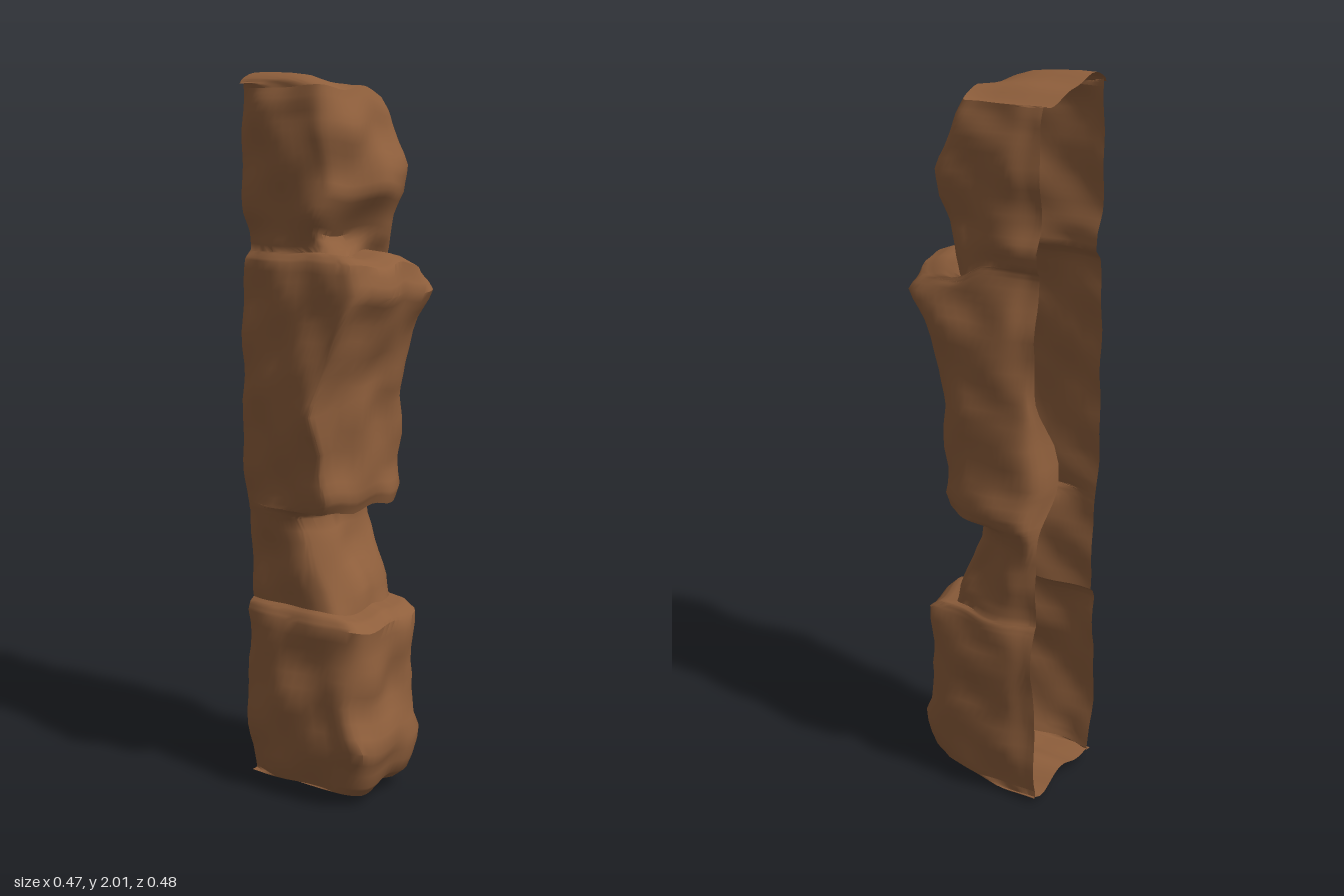
import * as THREE from 'three';
import { toCreasedNormals } from 'three/addons/utils/BufferGeometryUtils.js';

const { lerp, smoothstep } = THREE.MathUtils;

// Key sections going up the pillar: [height, left x, right x, front z]
const KEYS = [
  [0.03, -0.14, 0.168, 0.15], [0.06, -0.15, 0.172, 0.18], [0.17, -0.175, 0.185, 0.218],
  [0.29, -0.182, 0.18, 0.18], [0.4, -0.16, 0.2, 0.185], [0.51, -0.165, 0.19, 0.19],
  [0.535, -0.15, 0.185, 0.16], [0.545, -0.135, 0.18, 0.11], [0.6, -0.14, 0.18, 0.09],
  [0.7, -0.145, 0.185, 0.035], [0.8, -0.16, 0.21, 0.0], [0.825, -0.17, 0.22, 0.01],
  [0.835, -0.18, 0.225, 0.12], [0.87, -0.185, 0.23, 0.135], [0.95, -0.2, 0.215, 0.125],
  [1.12, -0.23, 0.215, 0.135], [1.22, -0.215, 0.205, 0.15], [1.35, -0.19, 0.2, 0.2],
  [1.43, -0.183, 0.178, 0.24], [1.505, -0.168, 0.165, 0.215], [1.525, -0.15, 0.165, 0.16],
  [1.53, -0.145, 0.17, 0.085], [1.58, -0.15, 0.178, 0.09], [1.63, -0.165, 0.165, 0.115],
  [1.69, -0.17, 0.165, 0.15], [1.76, -0.178, 0.172, 0.145], [1.85, -0.19, 0.17, 0.12],
  [1.92, -0.183, 0.158, 0.1], [1.96, -0.168, 0.148, 0.085],
];
const ACROSS = 52, STEPS = 3, CAP = 6, BACK = -0.21;

// Small smooth bumps for the weathered rock
const bump = (a, b, c) =>
  0.005 * Math.sin(a * 31 + b * 17 + c) + 0.004 * Math.sin(a * 19 - b * 34 + c * 2.3);

// U-shaped section: back left, round the front, back right
function section([y, xl, xr, zf]) {
  const curl = Math.exp(-(((y - 0.98) / 0.17) ** 2)); // back edge curling inwards
  const slab = smoothstep(y, 0.8, 0.84) * (1 - smoothstep(y, 1.5, 1.55)); // square-cornered block
  const lean = smoothstep(y, 1.53, 1.58) * (1 - smoothstep(y, 1.75, 1.88)); // upper bulge
  const flare = Math.min(lerp(-0.06, 0.06, slab), zf - 0.08);
  const chamfer = Math.max(zf - 0.1, -0.07);
  const outline = new THREE.CatmullRomCurve3([
    // right-hand wall and corner
    [Math.max(xl * 0.95, -0.12 + xl * 0.22), BACK],
    [Math.max(xl, -0.12 + xl * 0.32), lerp(BACK, flare, 0.5)],
    [xl, flare], [xl * lerp(0.92, 0.99, slab), lerp(flare, zf, 0.55)],
    // front face
    [xl * lerp(0.8, 0.96, slab), zf - 0.025 - 0.03 * lean], [xl * 0.3, zf - 0.035 * lean],
    [xr * 0.25, zf - 0.018 * (1 - lean)],
    [Math.min(xr * 0.79, 0.147), Math.max(zf - 0.04 + 0.01 * lean, -0.03)],
    // chamfer and left-hand wall
    [xr * 0.89, chamfer], [xr * 0.96, lerp(chamfer, -0.13, 0.5)], [xr, -0.13],
    [xr * 0.94, lerp(-0.18, -0.22, curl)], [lerp(xr * 0.92, 0.1, curl), BACK - 0.032 * curl],
  ].map(([x, z]) => new THREE.Vector3(x, y, z)), false, 'centripetal');
  return outline.getPoints(ACROSS).map((p, i) => {
    const edge = Math.min(1, Math.min(i, ACROSS - i) / 4);
    p.x += bump(p.z, y, 1);
    p.z += edge * bump(p.x, y, 4);
    // Uneven ledges along the front, a notch in the slab's top and a sloping crown
    const front = smoothstep(p.z, -0.05, 0.05);
    p.y += 0.007 * Math.sin(p.x * 38 + 1) * front;
    p.y -= 0.05 * front * smoothstep(p.x, 0.09, 0.15) * Math.exp(-(((y - 1.53) / 0.05) ** 2));
    p.y -= 0.018 * smoothstep(p.x, 0, 0.14) * smoothstep(y, 1.85, 1.96);
    return p;
  });
}

// Height of the rough ends above their rims
const topRough = (x) =>
  0.044 * Math.exp(-(((x + 0.09) / 0.07) ** 2)) - 0.005 * Math.exp(-(((x - 0.1) / 0.07) ** 2));
const bottomRough = (x) =>
  -0.02 * Math.exp(-(((x - 0.13) / 0.05) ** 2)) + 0.008 * Math.cos(x * 22);

// Collapse a rim towards the open back to close an end with a rough surface
function capRows(rim, rough) {
  return Array.from({ length: CAP }, (_, k) => {
    const t = (k + 1) / CAP;
    const lift = Math.sin(Math.min(1, t * 2) * Math.PI / 2);
    return rim.map((p) => {
      const z = lerp(p.z, BACK, t);
      return new THREE.Vector3(p.x, p.y + lift * rough(p.x) + 0.3 * bump(p.x, z, 2), z);
    });
  });
}

// Skin a list of rows, lowest first
function skin(rows) {
  const n = ACROSS + 1, index = [];
  for (let r = 0; r < rows.length - 1; r++) {
    for (let i = 0; i < ACROSS; i++) {
      const a = r * n + i, b = a + n;
      index.push(a, a + 1, b + 1, a, b + 1, b);
    }
  }
  const geometry = new THREE.BufferGeometry().setFromPoints(rows.flat());
  geometry.setIndex(index);
  return toCreasedNormals(geometry, 0.9);
}

export function createModel() {
  const group = new THREE.Group();
  group.name = 'rockPillar';
  const material = new THREE.MeshStandardMaterial({ color: 0x8f5f3c, side: THREE.DoubleSide });

  // Stacked stone blocks, one continuous shell open at the back
  const rows = [];
  KEYS.slice(0, -1).forEach((key, k) => {
    for (let s = 0; s < STEPS; s++) {
      rows.push(section(key.map((v, j) => lerp(v, KEYS[k + 1][j], s / STEPS))));
    }
  });
  rows.push(section(KEYS[KEYS.length - 1]));

  const add = (name, list) => {
    const mesh = new THREE.Mesh(skin(list), material);
    mesh.name = name;
    group.add(mesh);
  };
  const topRim = rows[rows.length - 1];
  add('rockFace', rows);
  add('bottomFace', [...capRows(rows[0], bottomRough).reverse(), rows[0]]);
  add('topFace', [topRim, ...capRows(topRim, topRough)]);
  return group;
}
